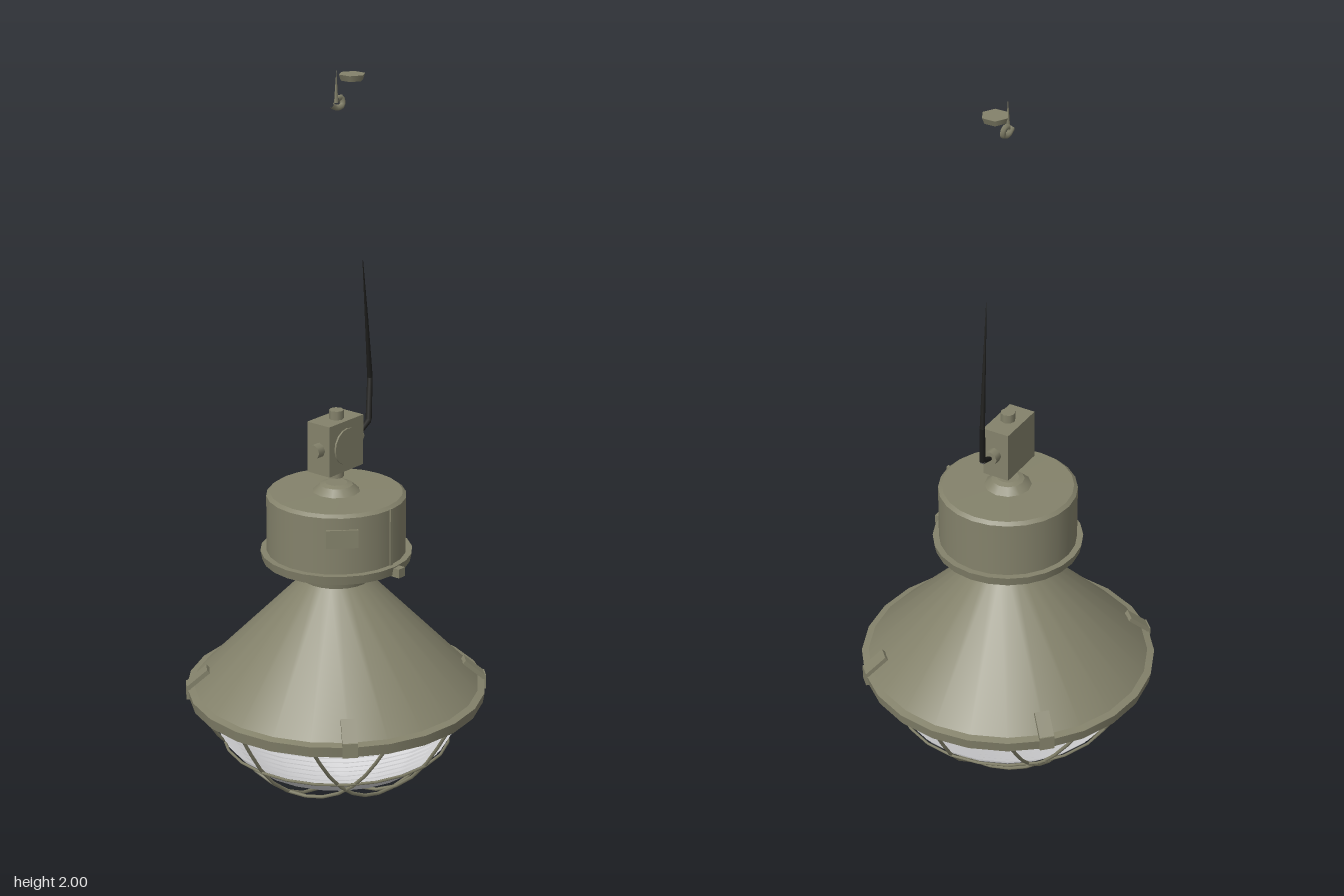
import * as THREE from 'three';

const V = (x, y, z) => new THREE.Vector3(x, y, z);

export function createModel() {
  const root = new THREE.Group();
  const mat = (name, color, side = THREE.FrontSide) => {
    const m = new THREE.MeshStandardMaterial({ color, side });
    m.name = name;
    return m;
  };
  const olive = mat('olive enamel', 0x84826b);
  const glass = mat('pale grey glass', 0xd8d8da, THREE.DoubleSide);
  const black = mat('black cable', 0x1e1e1c);

  const add = (name, geo, material, x = 0, y = 0, z = 0, parent = root) => {
    const m = new THREE.Mesh(geo, material);
    m.name = name;
    m.position.set(x, y, z);
    parent.add(m);
    return m;
  };
  const lathe = (pts, seg = 24) => new THREE.LatheGeometry(pts.map(p => new THREE.Vector2(p[0], p[1])), seg);
  // Sharp-edged revolved part: one smooth band per pair of profile points
  const turned = (name, pts, seg = 24) => {
    const g = new THREE.Group();
    g.name = name;
    for (let i = 0; i < pts.length - 1; i++) {
      add(name + 'Band', lathe([pts[i], pts[i + 1]], seg), olive, 0, 0, 0, g);
    }
    root.add(g);
  };
  const tube = (name, pts, r, parent = root) =>
    add(name, new THREE.TubeGeometry(new THREE.CatmullRomCurve3(pts), 14, r, 5), olive, 0, 0, 0, parent);

  // Conical shade with a pale lining and a rolled rim
  turned('shade', [[0.4, 0.3], [0.085, 0.625], [0, 0.625]]);
  add('shadeLining', lathe([[0.375, 0.276], [0.388, 0.302], [0.08, 0.618], [0, 0.618]]), glass);
  turned('shadeRim', [[0.375, 0.275], [0.405, 0.275], [0.41, 0.305], [0.39, 0.31]]);

  // Collar, flange and ballast housing
  turned('collar', [[0.095, 0.62], [0.1, 0.64], [0.1, 0.68]]);
  turned('flange', [[0.1, 0.675], [0.15, 0.675], [0.16, 0.665], [0.2, 0.675], [0.205, 0.7], [0.18, 0.7]]);
  turned('housing', [[0.188, 0.695], [0.188, 0.857], [0.178, 0.865], [0, 0.868]]);
  turned('topBoss', [[0.065, 0.866], [0.045, 0.885], [0.03, 0.89], [0, 0.89]], 12);
  add('housingSeam', new THREE.BoxGeometry(0.01, 0.17, 0.008), olive, 0, 0.775, 0.187);
  add('flangeLatch', new THREE.BoxGeometry(0.025, 0.025, 0.03), olive, 0.005, 0.685, 0.207);
  const plate = add('ratingPlate', new THREE.BoxGeometry(0.085, 0.05, 0.008), olive, -0.134, 0.8, 0.132);
  plate.rotation.y = -Math.PI / 4;

  // Junction box with four cable glands and a round cover
  add('junctionBox', new THREE.BoxGeometry(0.14, 0.14, 0.076), olive, 0, 1, -0.003);
  for (let i = 0; i < 4; i++) {
    const a = i * Math.PI / 2;
    const gland = add('cableGland', new THREE.CylinderGeometry(0.02, 0.02, 0.026, 8), olive,
      Math.sin(a) * 0.081, 1 + Math.cos(a) * 0.081, 0);
    gland.rotation.z = -a;
  }
  const cover = add('boxCover', new THREE.CylinderGeometry(0.05, 0.05, 0.006, 16), olive, 0, 1, 0.037);
  cover.rotation.x = Math.PI / 2;

  // Tapering supply cable
  const path = [[0.092, 1, 0, 0.006], [0.145, 1.025, -0.008, 0.009], [0.162, 1.14, -0.018, 0.008],
    [0.138, 1.3, -0.01, 0.005], [0.108, 1.48, 0, 0.001]];
  for (let i = 0; i < path.length - 1; i++) {
    const [a, b] = [path[i], path[i + 1]];
    const p = V(a[0], a[1], a[2]), q = V(b[0], b[1], b[2]);
    const mid = p.clone().add(q).multiplyScalar(0.5);
    const dir = q.clone().sub(p);
    const seg = add('cable', new THREE.CylinderGeometry(b[3], a[3], dir.length(), 6), black, mid.x, mid.y, mid.z);
    seg.quaternion.setFromUnitVectors(V(0, 1, 0), dir.normalize());
  }

  // Ceiling hook and small ceiling cap
  add('ceilingCap', new THREE.CylinderGeometry(0.036, 0.03, 0.016, 6), olive, 0.062, 1.972, 0);
  add('hookShank', new THREE.ConeGeometry(0.006, 0.085, 5), olive, 0, 1.9575, 0);
  tube('hook', [V(0, 1.925, 0), V(0.02, 1.925, 0), V(0.02, 1.907, 0.003), V(0, 1.902, 0), V(-0.02, 1.912, 0)], 0.008);

  // Ribbed glass: shallow spaced ledges above a solid bowl
  for (let i = 0; i < 7; i++) {
    const y = 0.268 - i * 0.018, r = 0.372 - i * 0.01;
    add('glassRib', lathe([[r - 0.02, y - 0.008], [r, y]]), glass);
  }
  add('glassBowl', lathe([[0, 0.022], [0.09, 0.03], [0.18, 0.063], [0.25, 0.1], [0.3, 0.145]]), glass);

  // Wire guard: a crossed lattice of bent wires tied by a ring
  const guard = new THREE.Group();
  guard.name = 'wireGuard';
  root.add(guard);
  for (const offset of [-0.2, 0, 0.2]) {
    const half = Math.sqrt(0.39 ** 2 - offset ** 2);
    const alongX = [], alongZ = [];
    for (let i = -5; i <= 5; i++) {
      const t = half * i / 5;
      const y = 0.006 + 0.274 * (Math.hypot(t, offset) / 0.39) ** 2.8;
      alongX.push(V(t, y, offset));
      alongZ.push(V(offset, y, t));
    }
    tube('guardWire', alongX, 0.005, guard);
    tube('guardWire', alongZ, 0.005, guard);
  }
  const ring = add('guardRing', new THREE.TorusGeometry(0.312, 0.004, 5, 24), olive, 0, 0.148, 0, guard);
  ring.rotation.x = Math.PI / 2;

  // Four clips gripping the rim
  for (let i = 0; i < 4; i++) {
    const clip = new THREE.Group();
    clip.name = 'rimClip';
    clip.rotation.y = Math.PI / 4 + i * Math.PI / 2;
    root.add(clip);
    const arm = add('clipArm', new THREE.BoxGeometry(0.04, 0.012, 0.07), olive, 0, 0.335, 0.378, clip);
    arm.rotation.x = 0.7;
    add('clipFoot', new THREE.BoxGeometry(0.04, 0.04, 0.012), olive, 0, 0.297, 0.406, clip);
  }
  return root;
}
